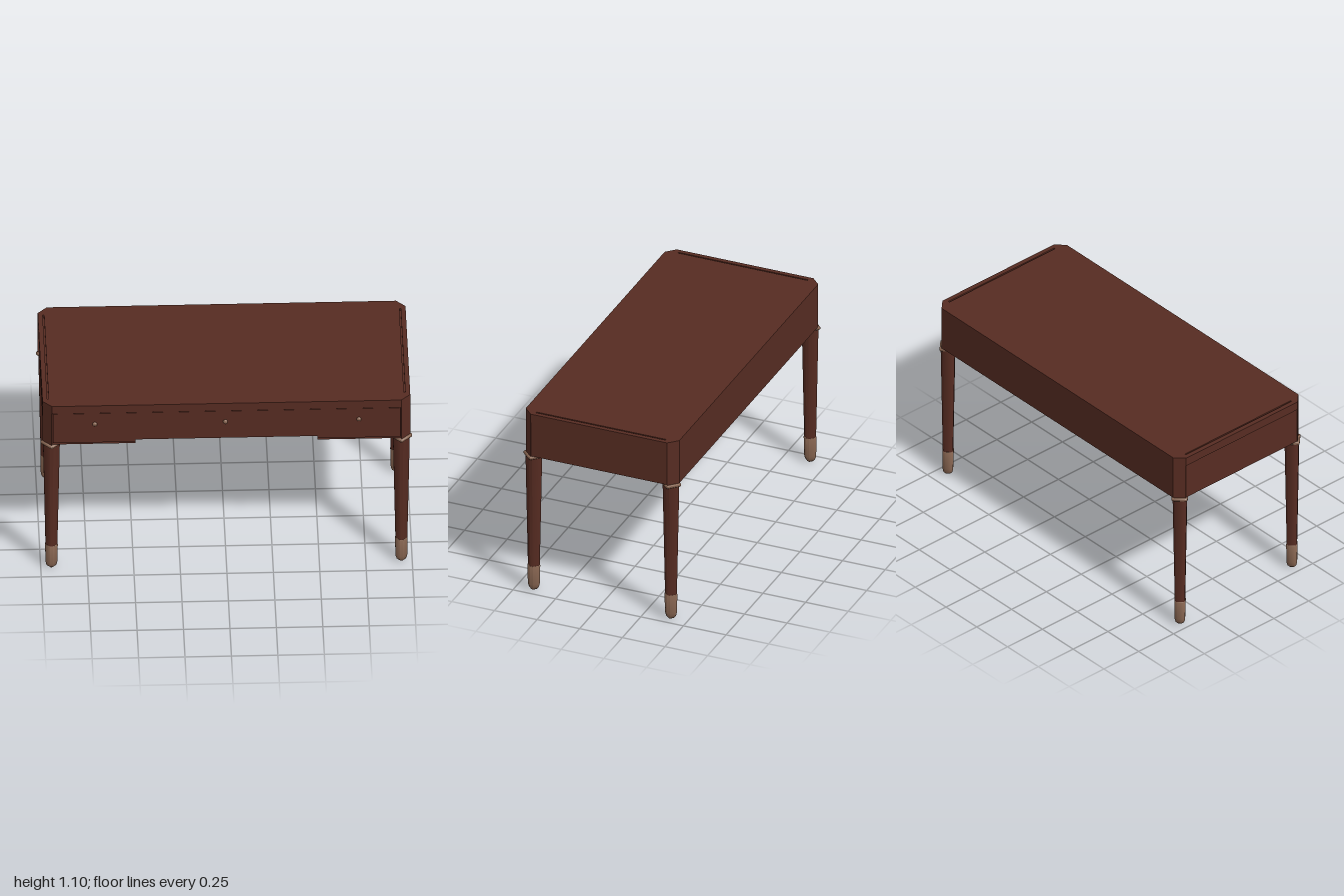
import * as THREE from 'three';
import { toCreasedNormals } from 'three/addons/utils/BufferGeometryUtils.js';

const wood = new THREE.MeshStandardMaterial({ color: 0x572c22 });
wood.name = 'dark red wood';
const metal = new THREE.MeshStandardMaterial({ color: 0x866450 });
metal.name = 'dull bronze';

function mesh(name, geometry, material) {
  const m = new THREE.Mesh(geometry, material);
  m.name = name;
  return m;
}

// Flat slab from a plan outline of [x, z] points, between two heights;
// holes run the opposite way round to the outline
function slab(points, y0, y1, holes = []) {
  const toPath = (list, Type) => new Type(list.map(([x, z]) => new THREE.Vector2(x, -z)));
  const shape = toPath(points, THREE.Shape);
  holes.forEach((h) => shape.holes.push(toPath(h, THREE.Path)));
  const g = new THREE.ExtrudeGeometry(shape, { depth: y1 - y0, bevelEnabled: false });
  return g.rotateX(-Math.PI / 2).translate(0, y0, 0);
}

const holeRect = (x0, x1, z0, z1) => [[x0, z0], [x0, z1], [x1, z1], [x1, z0]];

// Lofted column with a diamond section, its corners cut by t; rings are [radius, y], bottom to top
function column(rings, t) {
  const section = [[1, -t], [1, t], [t, 1], [-t, 1], [-1, t], [-1, -t], [-t, -1], [t, -1]];
  const n = section.length;
  const pos = [], index = [];
  rings.forEach(([r, y]) => section.forEach(([x, z]) => pos.push(x * r, y, z * r)));
  for (let k = 0; k < rings.length - 1; k++) {
    for (let i = 0; i < n; i++) {
      const a = k * n + i, b = k * n + (i + 1) % n;
      index.push(a, a + n, b, b, a + n, b + n);
    }
  }
  const top = (rings.length - 1) * n;
  for (let i = 1; i < n - 1; i++) {
    index.push(0, i, i + 1, top, top + i + 1, top + i);
  }
  const g = new THREE.BufferGeometry();
  g.setAttribute('position', new THREE.Float32BufferAttribute(pos, 3));
  g.setIndex(index);
  return toCreasedNormals(g, 0.9);
}

export function createModel() {
  const desk = new THREE.Group();
  desk.name = 'desk';

  // Tabletop with clipped corners and a narrow slot near each end
  const outline = [[-0.94, -0.45], [0.94, -0.45], [0.99, -0.4], [0.99, 0.4],
    [0.94, 0.45], [-0.94, 0.45], [-0.99, 0.4], [-0.99, -0.4]];
  const slots = [-0.96, 0.96].map((x) => holeRect(x - 0.004, x + 0.004, -0.38, 0.38));
  desk.add(mesh('tabletopBase', slab(outline, 1.05, 1.085), wood));
  desk.add(mesh('tabletop', slab(outline, 1.085, 1.1, slots), wood));

  // Carcass: open well behind the centre drawer, raised underside in the middle
  const back = [[-0.984, -0.4], [-0.94, -0.45], [0.94, -0.45], [0.984, -0.4]];
  const upper = [...back, [0.984, 0.4], [0.94, 0.438], [-0.94, 0.438], [-0.984, 0.4]];
  const lower = [...back, [0.984, 0.4], [0.94, 0.438], [0.49, 0.438], [0.49, -0.41],
    [-0.49, -0.41], [-0.49, 0.438], [-0.94, 0.438], [-0.984, 0.4]];
  desk.add(mesh('carcass', slab(upper, 0.866, 1.05, [holeRect(-0.49, 0.49, -0.41, -0.17)]), wood));
  desk.add(mesh('carcassBase', slab(lower, 0.838, 0.866), wood));

  // Drawer front with a stepped lower edge
  const front = new THREE.Shape([[-0.935, 0.852], [-0.49, 0.852], [-0.49, 0.867], [0.49, 0.867],
    [0.49, 0.852], [0.935, 0.852], [0.935, 1.045], [-0.935, 1.045]]
    .map(([x, y]) => new THREE.Vector2(x, y)));
  const frontGeo = new THREE.ExtrudeGeometry(front, { depth: 0.009, bevelEnabled: false });
  desk.add(mesh('drawerFront', frontGeo.translate(0, 0, 0.436), wood));

  // Knobs
  for (const x of [-0.71, -0.007, 0.712]) {
    const knob = mesh('knob', new THREE.SphereGeometry(0.013, 16, 10), metal);
    knob.scale.z = 0.7;
    knob.position.set(x, 0.975, 0.446);
    desk.add(knob);
  }

  // Corner posts, collars, tapered legs and rounded feet
  const legGeo = column([[0.032, 0.145], [0.045, 0.825]], 0.2);
  const collarGeo = column([[0.053, 0.82], [0.058, 0.824], [0.058, 0.835], [0.055, 0.838]], 0.06);
  const footGeo = column([[0.007, 0], [0.017, 0.003], [0.025, 0.011], [0.03, 0.025],
    [0.032, 0.04], [0.034, 0.148], [0.032, 0.152]], 0.25);
  for (const sx of [-1, 1]) {
    for (const sz of [-1, 1]) {
      const inner = sz > 0 ? [[0.94, 0.438]] : [];
      const post = [...inner, [0.94, 0.45], [0.99, 0.4], [0.984, 0.4]]
        .map(([x, z]) => [x * sx, z * sz]);
      desk.add(mesh('cornerPost', slab(post, 0.838, 1.05), wood));

      const leg = new THREE.Group();
      leg.name = sz > 0 ? 'frontLeg' : 'backLeg';
      leg.add(mesh('legShaft', legGeo, wood));
      leg.add(mesh('collar', collarGeo, metal));
      leg.add(mesh('foot', footGeo, metal));
      leg.position.set(0.942 * sx, 0, 0.402 * sz);
      desk.add(leg);
    }
  }
  return desk;
}
